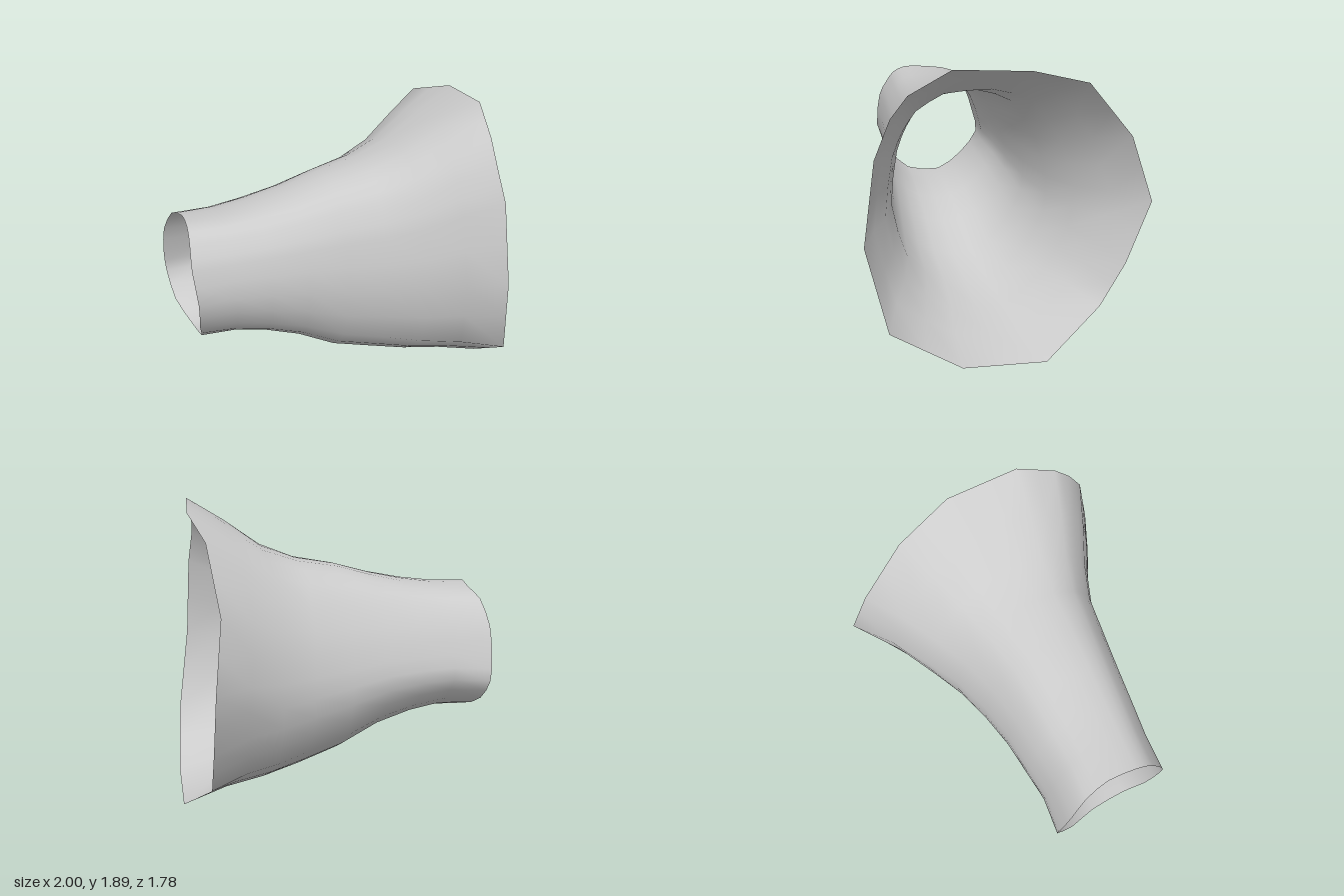
import * as THREE from 'three';

// Wide rim and narrow cuff, point by point around the opening: [x, y, z]
const rim = [
  [0.87, 1.89, 0.37], [0.91, 1.85, -0.08], [0.84, 1.72, -0.45], [0.80, 1.34, -0.76],
  [0.855, 0.92, -0.89], [0.86, 0.52, -0.74], [0.86, 0.24, -0.58], [1.0, 0, -0.18],
  [0.98, 0.05, 0.35], [0.93, 0.34, 0.78], [0.85, 0.88, 0.89], [0.83, 1.40, 0.81],
  [0.81, 1.62, 0.71], [0.82, 1.75, 0.61],
];
const cuff = [
  [-0.965, 1.31, 0.18], [-0.945, 1.295, 0], [-0.97, 1.245, -0.16], [-1.0, 1.09, -0.27],
  [-1.0, 0.90, -0.33], [-0.985, 0.74, -0.355], [-0.97, 0.59, -0.23], [-0.92, 0.50, -0.04],
  [-0.92, 0.54, 0.19], [-0.96, 0.68, 0.32], [-0.98, 0.88, 0.40], [-1.0, 1.10, 0.37],
  [-0.99, 1.20, 0.32], [-0.98, 1.27, 0.27],
];
// Middle section within a unit square, flattened at the upper back
const middle = [
  [0, 0.96, 0.39], [0, 1, -0.05], [0, 0.84, -0.5], [0, 0.43, -0.81],
  [0, 0.05, -0.96], [0, -0.31, -0.98], [0, -0.74, -0.67], [0, -0.99, -0.2],
  [0, -0.94, 0.36], [0, -0.63, 0.81], [0, -0.05, 1], [0, 0.47, 0.91],
  [0, 0.68, 0.79], [0, 0.84, 0.65],
];
const columns = rim.length * 2;

// Extents along the sleeve: [x, bottom, top, back z, front z]
const stations = [
  [-0.97, 0.50, 1.31, -0.36, 0.40],
  [-0.74, 0.50, 1.32, -0.33, 0.42],
  [-0.53, 0.46, 1.35, -0.345, 0.455],
  [-0.30, 0.38, 1.40, -0.36, 0.49],
  [-0.06, 0.25, 1.47, -0.40, 0.53],
  [0.20, 0.165, 1.52, -0.475, 0.575],
  [0.42, 0.105, 1.605, -0.585, 0.665],
  [0.64, 0.07, 1.755, -0.72, 0.78],
  [0.88, 0, 1.89, -0.89, 0.89],
];

// Ring with a rounded or straight midpoint on each side, as x offset
// plus y and z from -1 to 1 within its extents
function normalise(ring, tension, [x0, y0, y1, z0, z1]) {
  const points = ring.map((p) => new THREE.Vector3(...p));
  const curve = new THREE.CatmullRomCurve3(points, true, 'catmullrom', tension);
  return Array.from({ length: columns }, (_, j) => {
    const p = curve.getPoint(j / columns);
    return new THREE.Vector3(
      p.x - x0, (2 * p.y - y0 - y1) / (y1 - y0), (2 * p.z - z0 - z1) / (z1 - z0),
    );
  });
}

function sleeveGeometry() {
  const first = stations[0], last = stations[stations.length - 1];
  const a = normalise(cuff, 0.4, first);
  const m = normalise(middle, 0.4, [0, -1, 1, -1, 1]);
  const b = normalise(rim, 0, last);
  const positions = [], index = [];

  stations.forEach(([x, y0, y1, z0, z1], i) => {
    const t = (x - first[0]) / (last[0] - first[0]);
    const nearCuff = (1 - t) ** 3, nearRim = t ** 3;
    for (let j = 0; j < columns; j++) {
      // cuff shape turns into the middle shape, then into the rim
      const s = m[j].clone().multiplyScalar(1 - nearCuff - nearRim)
        .addScaledVector(a[j], nearCuff).addScaledVector(b[j], nearRim);
      positions.push(
        x + s.x,
        (y0 + y1 + s.y * (y1 - y0)) / 2,
        (z0 + z1 + s.z * (z1 - z0)) / 2,
      );
      if (i < stations.length - 1) {
        const p = i * columns + j, q = i * columns + (j + 1) % columns;
        index.push(p, p + columns, q, q, p + columns, q + columns);
      }
    }
  });

  const geometry = new THREE.BufferGeometry();
  geometry.setAttribute('position', new THREE.Float32BufferAttribute(positions, 3));
  geometry.setIndex(index);
  geometry.computeVertexNormals();
  return geometry;
}

export function createModel() {
  const group = new THREE.Group();
  // Open flared sleeve
  const sleeve = new THREE.Mesh(
    sleeveGeometry(),
    new THREE.MeshStandardMaterial({ color: 0xcccccc, side: THREE.DoubleSide }),
  );
  sleeve.name = 'flaredSleeve';
  group.add(sleeve);
  return group;
}
